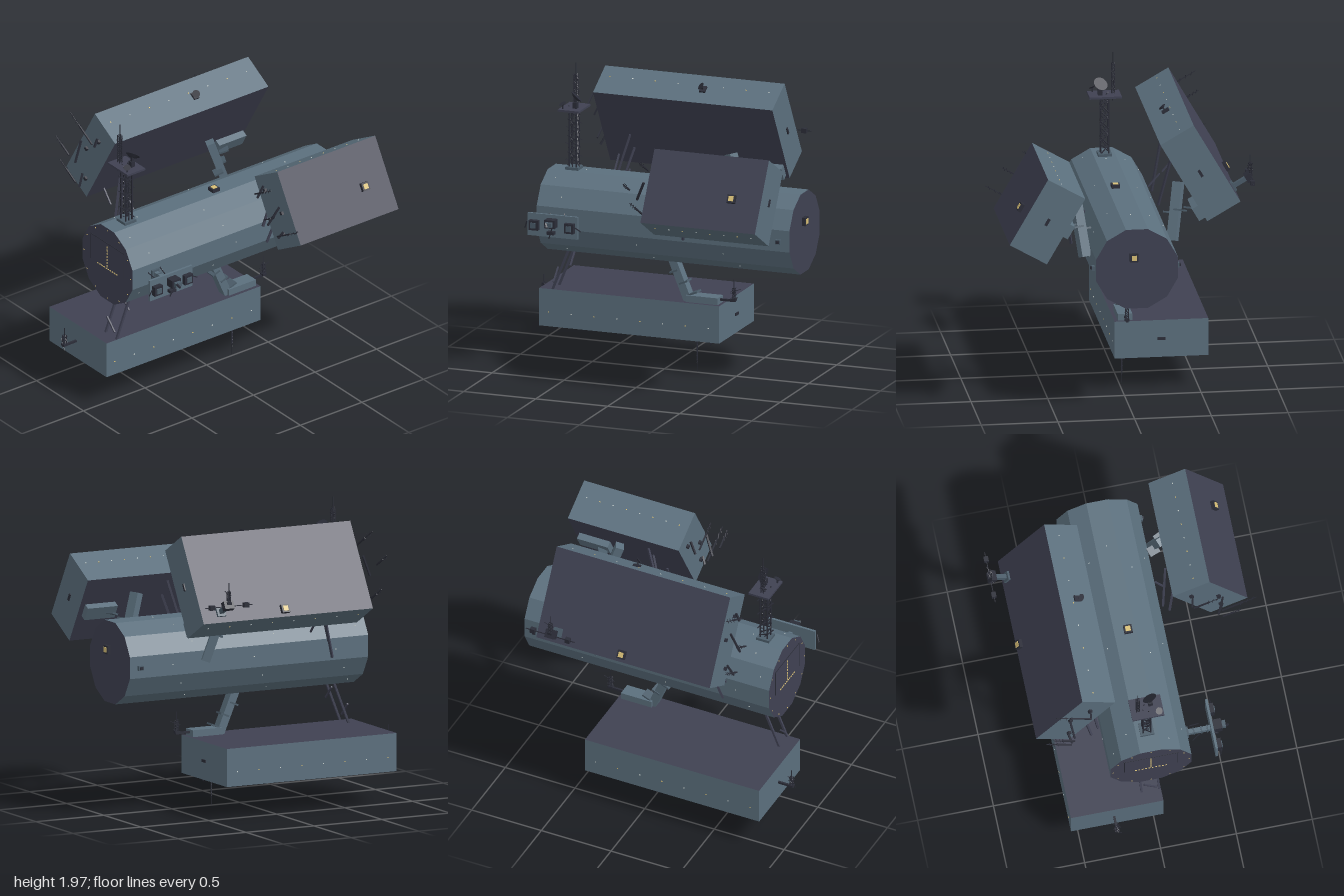
import * as THREE from 'three';

const mat = (name, color) => Object.assign(new THREE.MeshStandardMaterial({ color }), { name });

export function createModel() {
  const slate = mat('slate hull', 0x5b6f7d), dusk = mat('dark panel', 0x3f4152);
  const iron = mat('dark iron', 0x2b2d38), amber = mat('amber light', 0xd9c077);
  const pale = mat('pale light', 0xc9d2cf), steel = mat('steel fitting', 0x4b5c69);
  const model = new THREE.Group();
  model.name = 'spaceStation';

  const group = (parent, name) => {
    const g = new THREE.Group();
    g.name = name;
    parent.add(g);
    return g;
  };
  const add = (parent, name, geo, material, x = 0, y = 0, z = 0) => {
    const m = new THREE.Mesh(geo, material);
    m.name = name;
    m.position.set(x, y, z);
    parent.add(m);
    return m;
  };
  const box = (parent, name, material, w, h, d, x, y, z) =>
    add(parent, name, new THREE.BoxGeometry(w, h, d), material, x, y, z);
  // Straight member between two points
  const bar = (parent, name, material, a, b, w, h = w) => {
    const A = new THREE.Vector3(...a), B = new THREE.Vector3(...b);
    const geo = new THREE.BoxGeometry(w, h, A.distanceTo(B));
    const dir = B.clone().sub(A).normalize();
    if (Math.abs(dir.y) > 0.99) geo.rotateX(Math.PI / 2);
    const m = add(parent, name, geo, material);
    m.position.copy(A).add(B).multiplyScalar(0.5);
    if (Math.abs(dir.y) <= 0.99) m.lookAt(m.position.clone().add(dir));
    return m;
  };
  // Open square truss standing on (x, y, z)
  const lattice = (parent, name, x, y, z, w, h, n, t, material = iron) => {
    const g = group(parent, name);
    g.position.set(x, y, z);
    const r = w / 2, c = [[-r, -r], [r, -r], [r, r], [-r, r]];
    c.forEach(([ax, az], i) => {
      const [bx, bz] = c[(i + 1) % 4];
      bar(g, 'post', material, [ax, 0, az], [ax, h, az], t);
      for (let k = 0; k < n; k++) {
        const y0 = h * k / n, y1 = h * (k + 1) / n;
        bar(g, 'rung', material, [ax, y1, az], [bx, y1, bz], t * 0.7);
        bar(g, 'brace', material, k % 2 ? [bx, y0, bz] : [ax, y0, az], k % 2 ? [ax, y1, az] : [bx, y1, bz], t * 0.7);
      }
    });
    return g;
  };
  // Dish on a short stem, facing the given direction
  const dish = (parent, x, y, z, r, facing, foot) => {
    const d = add(parent, 'dish', new THREE.CylinderGeometry(r, r * 0.45, r * 0.35, 16), iron, x, y, z);
    const n = new THREE.Vector3(...facing).normalize();
    d.quaternion.setFromUnitVectors(new THREE.Vector3(0, 1, 0), n);
    bar(parent, 'dishStem', iron, foot, [x, y, z], r * 0.35);
  };
  // Framed lit window; n is the outward axis
  const windowBox = (parent, x, y, z, axis, sign) => {
    const s = [0.055, 0.055, 0.055], p = [0.034, 0.034, 0.034], c = [x, y, z], q = [x, y, z];
    s[axis] = 0.026; p[axis] = 0.006;
    c[axis] += sign * 0.011; q[axis] += sign * 0.025;
    box(parent, 'windowFrame', iron, ...s, ...c);
    box(parent, 'window', amber, ...p, ...q);
  };
  // Vertical aerial: truss, whip and cross rods on a small box
  const aerial = (parent, x, y, z, s) => {
    const g = group(parent, 'aerial');
    g.position.set(x, y, z);
    box(g, 'aerialBase', iron, 0.03, 0.016, 0.03, 0, 0, 0);
    lattice(g, 'aerialTruss', 0, 0, 0, 0.018, 0.075 * s, 3, 0.004);
    bar(g, 'whip', iron, [0, 0.07 * s, 0], [0, 0.135 * s, 0], 0.004);
    bar(g, 'crossRod', iron, [0, 0.06 * s, -0.05], [0, 0.06 * s, 0.03], 0.003);
    bar(g, 'crossRod', iron, [0, 0.006, -0.03], [0, 0.006, 0.055], 0.003);
  };

  // Twelve-sided main hull
  const hull = group(model, 'hull');
  hull.position.set(-0.02, 1.005, 0);
  const AP = 0.267;
  let hullGeo = new THREE.CylinderGeometry(AP / Math.cos(Math.PI / 12), AP / Math.cos(Math.PI / 12), 1.755, 12);
  hullGeo.rotateY(Math.PI / 12).rotateX(Math.PI / 2);
  hullGeo = hullGeo.toNonIndexed();
  hullGeo.computeVertexNormals();
  add(hull, 'hullBody', hullGeo, [slate, dusk, dusk], 0, 0, -0.0875);
  windowBox(hull, 0.02, AP, -0.06, 1, 1);
  windowBox(hull, 0.02, 0.08, -0.965, 2, -1);
  // Front door lines and guide lights
  for (const s of [-1, 1]) {
    box(hull, 'doorSeam', iron, 0.004, 0.18, 0.006, s * 0.175, 0.06, 0.79);
    box(hull, 'sidePort', steel, 0.02, 0.03, 0.035, s * (AP + 0.008), -0.005, -0.89);
    box(hull, 'sidePortCap', iron, 0.014, 0.018, 0.02, s * (AP + 0.02), -0.005, -0.89);
  }
  box(hull, 'doorSeam', iron, 0.36, 0.004, 0.006, 0, 0.155, 0.79);
  for (let i = 0; i < 7; i++) box(hull, 'guideLight', amber, 0.006, 0.013, 0.006, 0, 0.125 - i * 0.023, 0.791);
  for (let i = 0; i < 10; i++) box(hull, 'guideLight', amber, 0.012, 0.006, 0.006, -0.1 + i * 0.0222, -0.032, 0.791);
  // Running lights on the hull facets and front rim
  for (let k = 0; k < 12; k++) {
    const a = k * Math.PI / 6;
    box(hull, 'rimLight', amber, 0.006, 0.006, 0.006, 0.25 * Math.cos(a), 0.25 * Math.sin(a), 0.79);
    for (let i = 0; i < 3; i++)
      box(hull, 'runningLight', pale, 0.006, 0.006, 0.006, AP * Math.cos(a), AP * Math.sin(a), 0.55 - i * 0.6 + (k % 3) * 0.08);
  }

  // Pods on struts; each is built hanging below the hull, then turned about its axis
  const pods = [
    { name: 'lowerPod', turn: 0, x: -0.235, y: -0.66, w: 0.61, h: 0.25, z0: -0.4, z1: 0.85, strut: 0.58, arm: 0, whips: [] },
    { name: 'rightPod', turn: -120, x: -0.235, y: -0.66, w: 0.61, h: 0.25, z0: -0.665, z1: 0.58, strut: 0.31, arm: -0.265,
      whips: [[-0.405, -0.65, 0.64, 0.27], [-0.249, -0.709, 0.73, 0.16], [-0.049, -0.605, 0.67, 0.19]] },
    { name: 'leftPod', turn: 120, x: 0, y: -0.67, w: 0.5, h: 0.28, z0: -0.945, z1: -0.15, strut: -0.43, arm: -0.53,
      whips: [[0.149, -0.612, -0.06, 0.2], [-0.019, -0.722, 0, 0.135], [-0.156, -0.66, -0.095, 0.26]] },
  ];
  const made = pods.map((p) => {
    const g = group(model, p.name);
    g.position.copy(hull.position);
    g.rotation.z = THREE.MathUtils.degToRad(p.turn);
    const inner = p.y + p.h / 2, len = p.z1 - p.z0, mid = (p.z0 + p.z1) / 2;
    add(g, 'podBody', new THREE.BoxGeometry(p.w, p.h, len), [slate, slate, dusk, dusk, slate, slate], p.x, p.y, mid);
    // Rear arm with collars and foot
    const a = [0, -0.245, p.arm + 0.03], b = [0, inner + 0.02, p.arm - 0.24];
    bar(g, 'arm', slate, a, b, 0.065, 0.055);
    for (const t of [0.35, 0.6, 0.85]) {
      const at = (u) => a.map((v, i) => v + (b[i] - v) * u);
      bar(g, 'armCollar', steel, at(t), at(t + 0.03), 0.073, 0.062);
    }
    box(g, 'armFoot', slate, 0.095, 0.046, 0.22, 0, inner + 0.022, p.arm - 0.27);
    // Front struts with cross ties
    for (const s of [-1, 1])
      bar(g, 'strut', dusk, [s * 0.058, -0.25, p.strut - 0.015], [s * 0.058, inner, p.strut + 0.26], 0.014);
    for (const t of [0.25, 0.7]) {
      const y = -0.265 + (inner + 0.265) * t, z = p.strut + 0.26 * t;
      bar(g, 'strutTie', dusk, [-0.058, y, z], [0.058, y, z], 0.01);
    }
    // Position lights along both narrow sides
    for (let i = 0; i < 8; i++)
      for (const s of [-1, 1])
        box(g, 'podLight', i % 2 ? pale : amber, 0.006, 0.006, 0.008, p.x + s * p.w / 2, p.y - 0.03, p.z1 - 0.065 - i * (len - 0.11) / 7.2);
    box(g, 'rearHatch', iron, 0.05, 0.018, 0.01, p.x, p.y, p.z0 - 0.002);
    // Cranked whip aerials on the front end
    for (const [x, y, z, l] of p.whips) {
      box(g, 'whipMount', iron, 0.022, 0.022, 0.02, x, y, p.z1 + 0.006);
      bar(g, 'whipStem', iron, [x, y, p.z1], [x, y, z], 0.012);
      bar(g, 'whipArm', iron, [x, y, z], [x, y - l * 0.6, z], 0.009);
      bar(g, 'whipTip', iron, [x, y - l * 0.6, z], [x, y - l, z], 0.004);
      for (const t of [0.55, 0.72, 0.88])
        bar(g, 'whipCross', iron, [x, y - l * t, z - 0.016], [x, y - l * t, z + 0.016], 0.003);
    }
    return g;
  });
  const [lower, right, left] = made;

  // Lower pod fittings: keel whip, dish and end aerials
  bar(lower, 'keelWhip', iron, [0, -0.785, -0.22], [0, -0.93, -0.22], 0.009);
  bar(lower, 'keelWhipTip', iron, [0, -0.93, -0.22], [0, -1.005, -0.22], 0.004);
  for (let i = 0; i < 6; i++)
    bar(lower, 'keelCross', iron, [-0.008, -0.82 - i * 0.025, -0.22], [0.008, -0.82 - i * 0.025, -0.22], 0.004);
  dish(lower, -0.035, -0.818, -0.305, 0.02, [0, -0.7, -0.7], [-0.035, -0.785, -0.29]);
  bar(model, 'frontAerialArm', iron, [-0.275, 0.345, 0.85], [-0.275, 0.345, 0.96], 0.014);
  aerial(model, -0.275, 0.35, 0.945, 0.9);
  bar(model, 'rearAerialArm', iron, [-0.02, 0.497, -0.38], [-0.02, 0.497, -0.485], 0.014);
  aerial(model, -0.02, 0.505, -0.475, 1);

  // Right pod fittings: window, edge dish and outrigger aerial
  windowBox(right, 0.02, -0.785, -0.06, 1, -1);
  box(right, 'dishMount', iron, 0.014, 0.05, 0.04, -0.545, -0.655, -0.145);
  dish(right, -0.575, -0.65, -0.14, 0.026, [-0.7, 0.2, 0.5], [-0.54, -0.655, -0.145]);
  box(right, 'outriggerMount', steel, 0.06, 0.02, 0.06, 0, -0.79, -0.525);
  bar(right, 'outrigger', steel, [0, -0.785, -0.525], [0, -0.91, -0.525], 0.028);
  box(right, 'outriggerHead', iron, 0.055, 0.04, 0.07, 0, -0.905, -0.525);
  aerial(model, -0.815, 1.475, -0.525, 1);
  for (const s of [-1, 1]) {
    bar(model, 'outriggerRod', iron, [-0.815, 1.455, -0.525], [-0.815, 1.455, -0.525 + s * 0.175], 0.005);
    box(model, 'outriggerPad', iron, 0.03, 0.03, 0.035, -0.815, 1.455, -0.525 + s * 0.125);
  }
  windowBox(left, -0.035, -0.81, -0.745, 1, -1);

  // Top mast with platform, aerial and dishes
  const mast = group(model, 'mast');
  mast.position.set(-0.02, 1.27, 0.635);
  box(mast, 'mastFoot', steel, 0.09, 0.02, 0.09, 0, 0.01, 0);
  lattice(mast, 'mastTruss', 0, 0.02, 0, 0.05, 0.385, 7, 0.008);
  box(mast, 'platform', dusk, 0.21, 0.014, 0.145, 0, 0.409, 0);
  lattice(mast, 'mastAerial', -0.058, 0.416, 0.01, 0.02, 0.2, 7, 0.004);
  bar(mast, 'mastWhip', iron, [-0.058, 0.6, 0.01], [-0.058, 0.695, 0.01], 0.004);
  bar(mast, 'mastCross', iron, [-0.058, 0.435, -0.07], [-0.058, 0.435, 0.09], 0.004);
  box(mast, 'dishPedestal', iron, 0.03, 0.04, 0.03, 0.03, 0.435, -0.02);
  dish(mast, 0.03, 0.488, -0.025, 0.048, [-0.3, 0.7, -0.6], [0.03, 0.416, -0.02]);
  dish(mast, 0.073, 0.446, 0.05, 0.024, [0.3, 0.8, 0.3], [0.073, 0.416, 0.05]);

  // Side sensor boom with panel
  const boom = group(model, 'sensorBoom');
  boom.position.set(0.247, 1.0, 0.61);
  box(boom, 'boomRoot', steel, 0.02, 0.06, 0.06, 0.005, 0, 0);
  box(boom, 'boomArm', slate, 0.17, 0.032, 0.03, 0.085, 0, 0);
  for (const x of [0.05, 0.1, 0.14]) box(boom, 'boomCollar', steel, 0.008, 0.04, 0.038, x, 0, 0);
  box(boom, 'sensorPanel', slate, 0.016, 0.15, 0.345, 0.168, 0, 0);
  for (const s of [-1, 1]) {
    bar(boom, 'boomStay', iron, [0, 0, s * 0.055], [0.12, 0, s * 0.03], 0.005);
    box(boom, 'sensorFrame', iron, 0.035, 0.065, 0.065, 0.19, 0, s * 0.123);
    box(boom, 'sensorFace', steel, 0.008, 0.036, 0.036, 0.21, 0, s * 0.123);
    bar(boom, 'sensorRod', iron, [0.195, 0, s * 0.15], [0.195, 0, s * 0.205], 0.006);
  }
  box(boom, 'sensorCore', iron, 0.06, 0.055, 0.07, 0.205, 0.025, 0);
  box(boom, 'sensorSnout', steel, 0.03, 0.03, 0.045, 0.245, 0.025, 0);
  bar(boom, 'sensorProbe', iron, [0.25, 0.025, 0.01], [0.285, 0.025, 0.01], 0.012);
  box(boom, 'sensorFoot', iron, 0.035, 0.02, 0.05, 0.19, -0.042, 0.005);
  bar(boom, 'sensorCross', iron, [0.2, -0.042, -0.04], [0.2, -0.042, 0.05], 0.005);
  return model;
}
